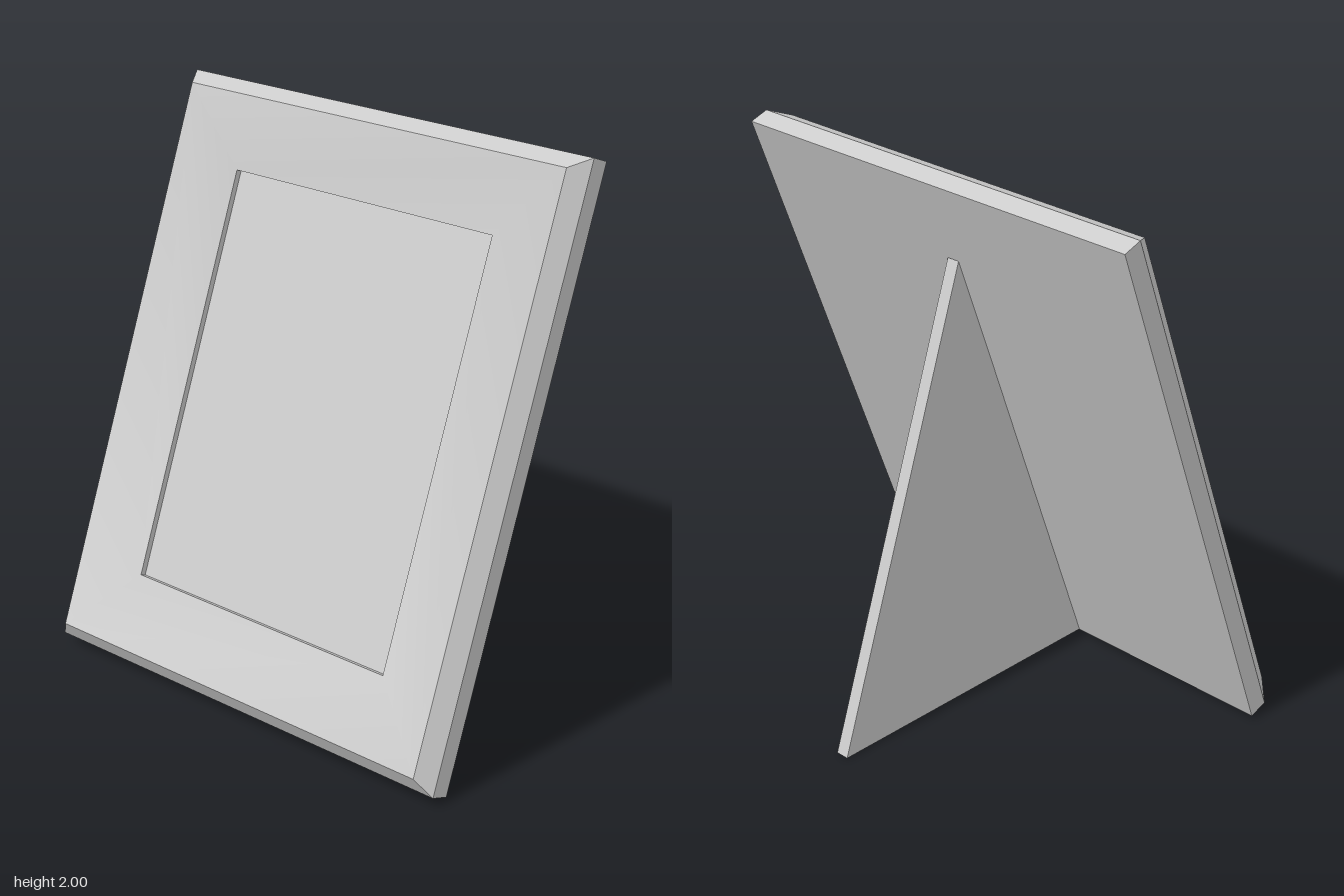
import * as THREE from 'three';
import { toCreasedNormals } from 'three/addons/utils/BufferGeometryUtils.js';

// Skin a stack of rectangles [halfWidth, halfHeight, depth], with both ends closed
function rectLoft(rings) {
  const corners = [[-1, -1], [1, -1], [1, 1], [-1, 1]];
  const positions = [];
  const index = [];
  for (const [w, h, d] of rings) {
    for (const [sx, sy] of corners) positions.push(sx * w, sy * h, d);
  }
  for (let i = 0; i < rings.length - 1; i++) {
    for (let j = 0; j < 4; j++) {
      const a = i * 4 + j;
      const b = i * 4 + (j + 1) % 4;
      index.push(a, b, b + 4, a, b + 4, a + 4);
    }
  }
  const e = (rings.length - 1) * 4;
  index.push(0, 2, 1, 0, 3, 2, e, e + 1, e + 2, e, e + 2, e + 3);
  const geometry = new THREE.BufferGeometry();
  geometry.setAttribute('position', new THREE.Float32BufferAttribute(positions, 3));
  geometry.setIndex(index);
  return toCreasedNormals(geometry, 0.4);
}

export function createModel() {
  const model = new THREE.Group();
  model.name = 'pictureFrame';
  const material = new THREE.MeshStandardMaterial({ color: 0xcccccc });

  // Frame: flat back, bevelled rim, face sloping in to a shallow picture recess
  const frame = new THREE.Mesh(rectLoft([
    [0.875, 1.052, 0],
    [0.875, 1.052, 0.073],
    [0.825, 1.002, 0.135],
    [0.57, 0.74, 0.08],
    [0.57, 0.74, 0.058],
  ]), material);
  frame.name = 'frame';

  // Lean the frame back so that its face looks towards -x and upwards
  const up = new THREE.Vector3(0.357, 0.934, 0).normalize();
  const out = new THREE.Vector3(-up.y, up.x, 0);
  const side = new THREE.Vector3(0, 0, 1);
  const leaning = new THREE.Group();
  leaning.name = 'leaningFrame';
  frame.quaternion.setFromRotationMatrix(new THREE.Matrix4().makeBasis(side, up, out));
  frame.position.set(-0.168, 0.996, 0);
  leaning.rotation.y = 0.006;
  leaning.add(frame);
  model.add(leaning);

  // Triangular stand behind the frame, turned very slightly
  const triangle = new THREE.Shape([
    new THREE.Vector2(-0.55, 0.015),
    new THREE.Vector2(0.652, 0),
    new THREE.Vector2(0.1, 1.69),
  ]);
  const standGeometry = new THREE.ExtrudeGeometry(triangle, { depth: 0.05, bevelEnabled: false });
  standGeometry.translate(0, 0, -0.025);
  const stand = new THREE.Mesh(standGeometry, material);
  stand.name = 'stand';
  stand.position.z = -0.019;
  stand.rotation.y = 0.026;
  model.add(stand);

  return model;
}
